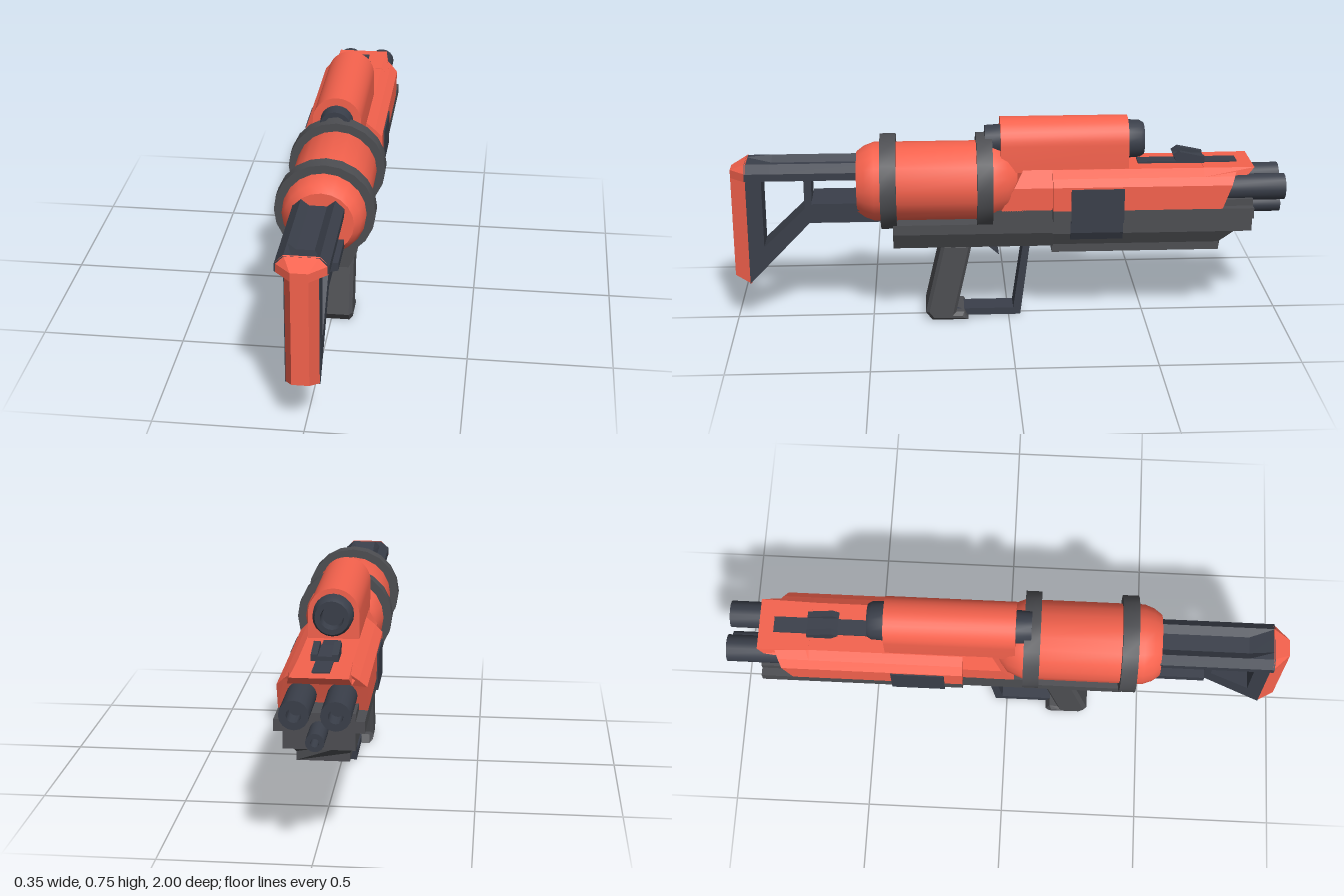
import * as THREE from 'three';
import { toCreasedNormals } from 'three/addons/utils/BufferGeometryUtils.js';

const material = (color) => new THREE.MeshStandardMaterial({ color, side: THREE.DoubleSide });
const AXIS = -0.01; // centre line of everything except the tank

export function createModel() {
  const model = new THREE.Group();
  const red = material(0xf5624d), grey = material(0x4d4e52), slate = material(0x3a3f4a);

  const add = (name, geometry, mat, x = AXIS, y = 0) => {
    const mesh = new THREE.Mesh(geometry, mat);
    mesh.name = name;
    mesh.position.set(x, y, 0);
    model.add(mesh);
  };
  const outline = (pts) => new THREE.Shape(pts.map(([a, b]) => new THREE.Vector2(a, b)));
  // Closed section mirrored from its right half, listed bottom to top
  const mirrored = (half) => [...half, ...half.map(([x, y]) => [-x, y]).reverse()];
  // Section in x,y extruded from z0 (low) to z1; rule(vertex, atLowEnd) may reshape the ends
  const prism = (pts, z0, z1, rule) => {
    const g = new THREE.ExtrudeGeometry(outline(pts), { depth: z1 - z0, bevelEnabled: false });
    g.translate(0, 0, z0);
    if (rule) {
      const p = g.attributes.position, v = new THREE.Vector3();
      for (let i = 0; i < p.count; i++) {
        v.fromBufferAttribute(p, i);
        rule(v, v.z < (z0 + z1) / 2);
        p.setXYZ(i, v.x, v.y, v.z);
      }
      g.computeVertexNormals();
    }
    return g;
  };
  // Side profile in z,y extruded across x
  const slab = (pts, half, holes = [], bevel = 0) => {
    const s = outline(pts);
    holes.forEach((h) => s.holes.push(new THREE.Path(h.map(([a, b]) => new THREE.Vector2(a, b)))));
    const g = new THREE.ExtrudeGeometry(s, {
      depth: 2 * (half - bevel), bevelEnabled: bevel > 0, bevelSize: bevel, bevelOffset: -bevel,
      bevelThickness: bevel, bevelSegments: 1,
    });
    return g.translate(0, 0, -(half - bevel)).rotateY(-Math.PI / 2);
  };
  // Turned part along z; profile of [radius, z]
  const turned = (pts, sides = 20) => toCreasedNormals(
    new THREE.LatheGeometry(pts.map(([r, z]) => new THREE.Vector2(r, z)), sides).rotateX(Math.PI / 2), 0.75);

  // Tank and its clamps
  add('tank', turned([[0, -0.03], [0.085, -0.03], [0.12, 0.005], [0.143, 0.06], [0.143, 0.485],
    [0.13, 0.52], [0.11, 0.547], [0, 0.547]]), red, 0, 0.522);
  for (const z of [0.06, 0.405]) {
    add('tankClamp', turned([[0.14, z], [0.173, z], [0.173, z + 0.057], [0.14, z + 0.057]]), grey, 0, 0.522);
  }

  // Receiver
  add('receiver', prism(mirrored([[0.087, 0.29], [0.116, 0.35], [0.116, 0.387]]), -0.16, 0.42), grey);
  add('receiverFront', prism(mirrored([[0.116, 0.38], [0.116, 0.437]]), -0.16, 0.06), grey);
  add('neck', prism(mirrored([[0.116, 0.435], [0.116, 0.52], [0.087, 0.58]]), -0.16, 0.03,
    (v, low) => { if (!low) v.z -= (v.y - 0.435) * 0.55; }), red);

  // Fore-end
  add('foreEnd', prism(mirrored([[0.116, 0.345], [0.116, 0.403], [0.145, 0.403], [0.145, 0.442],
    [0.116, 0.442], [0.116, 0.467]]), -0.88, -0.155), grey);
  add('foreEndKeel', prism(mirrored([[0.087, 0.265], [0.087, 0.295], [0.116, 0.352]]), -0.765, -0.155,
    (v, low) => { if (low && v.y > 0.3) v.z = -0.825; }), grey);
  add('cowl', prism(mirrored([[0.145, 0.44], [0.145, 0.53], [0.12, 0.555], [0.09, 0.58]]), -0.8, -0.155,
    (v, low) => { if (low) v.z = v.y < 0.46 ? -0.765 : -0.765 - (v.y - 0.465) * 0.5; }), red);
  add('cowlLip', prism(mirrored([[0.12, 0.555], [0.09, 0.581]]), -0.87, -0.7,
    (v, low) => { if (low) { v.x *= v.y > 0.57 ? 1.05 : 0.85; v.z = v.y > 0.57 ? -0.883 : -0.86; } }), red);
  for (const s of [-1, 1]) {
    add('sidePanel', prism([[0.08, 0.32], [0.107, 0.32], [0.122, 0.35], [0.122, 0.395], [0.15, 0.395],
      [0.15, 0.523], [0.08, 0.523]].map(([x, y]) => [s * x, y]), -0.41, -0.22), slate);
  }

  // Barrels
  const barrel = (r, bore, start) => turned([[0, -0.93], [bore, -0.93], [bore, -1], [r, -1], [r, start]], 16);
  for (const s of [-1, 1]) add('upperBarrel', barrel(0.048, 0.024, -0.72), slate, AXIS + s * 0.065, 0.497);
  add('lowerBarrel', barrel(0.03, 0.014, -0.8), slate, AXIS, 0.41);

  // Scope: arched housing with an eyepiece and an objective
  const arch = [[0.087, 0.57]];
  for (let i = 0; i <= 16; i++) {
    const a = (i / 16) * Math.PI;
    arch.push([0.087 * Math.cos(a), 0.667 + 0.087 * Math.sin(a)]);
  }
  arch.push([-0.087, 0.57]);
  add('scopeHousing', toCreasedNormals(prism(arch, -0.43, 0.03), 0.6), red);
  add('scopeEyepiece', turned([[0.06, 0.02], [0.056, 0.085], [0.04, 0.085], [0.036, 0.045], [0, 0.045]]), slate, AXIS, 0.667);
  add('scopeObjective', turned([[0, -0.45], [0.036, -0.45], [0.04, -0.49], [0.058, -0.49], [0.067, -0.475],
    [0.07, -0.42]]), slate, AXIS, 0.667);

  // Sight on its rail
  add('sightRail', slab([[-0.83, 0.57], [-0.47, 0.57], [-0.47, 0.586], [-0.83, 0.586]], 0.029), slate);
  add('sightBase', slab([[-0.71, 0.58], [-0.61, 0.58], [-0.6, 0.607], [-0.71, 0.6]], 0.03), slate);
  for (const s of [-1, 1]) {
    add('sightEar', slab([[-0.71, 0.584], [-0.625, 0.584], [-0.598, 0.61], [-0.62, 0.626], [-0.71, 0.607]], 0.011),
      slate, AXIS + s * 0.034);
  }

  // Grip, trigger and guard
  add('grip', slab([[0.245, 0.3], [0.135, 0.3], [0.195, 0.03], [0.165, 0.03], [0.15, 0], [0.283, 0], [0.307, 0.032]],
    0.087, [], 0.012), grey);
  add('triggerGuard', slab([[0.22, 0.004], [-0.043, 0.004], [-0.08, 0.3], [-0.055, 0.3], [-0.017, 0.03], [0.22, 0.03]], 0.045), slate);
  add('trigger', slab([[0.105, 0.295], [0.035, 0.235], [0.04, 0.26], [0.065, 0.295]], 0.025), slate);

  // Stock frame with its window
  add('stockFrame', slab([[0.945, 0.57], [0.945, 0.15], [0.72, 0.383], [0.42, 0.383], [0.42, 0.463], [0.71, 0.463], [0.71, 0.57]],
    0.0575, [[[0.888, 0.55], [0.888, 0.292], [0.737, 0.437], [0.737, 0.55]]]), slate);
  add('lowerRail', prism(mirrored([[0.0575, 0.43], [0.087, 0.437], [0.087, 0.465]]), 0.42, 0.71), slate);
  // Top rail: channelled, with a sloping end to the channel
  const rail = (depth) => mirrored([[0.087, 0.553], [0.087, 0.58], [0.0575, 0.608], [0.03, 0.608 - depth]]);
  add('topRail', prism(rail(0.022), 0.45, 0.855), slate);
  add('topRailEnd', prism(rail(0.022), 0.855, 0.945,
    (v, low) => { if (!low && Math.abs(v.x) < 0.04) v.y = Math.max(v.y, 0.608); }), slate);
  // Butt pad, tapering to a narrow rear face
  add('buttPad', prism(mirrored([[0.0575, 0.15], [0.0575, 0.55], [0.087, 0.55], [0.087, 0.58], [0.0575, 0.61]]), 0.94, 1,
    (v, low) => {
      if (low) return;
      v.x = THREE.MathUtils.clamp(v.x, -0.029, 0.029);
      v.y = THREE.MathUtils.clamp(v.y, 0.175, 0.58);
    }), red);

  return model;
}
